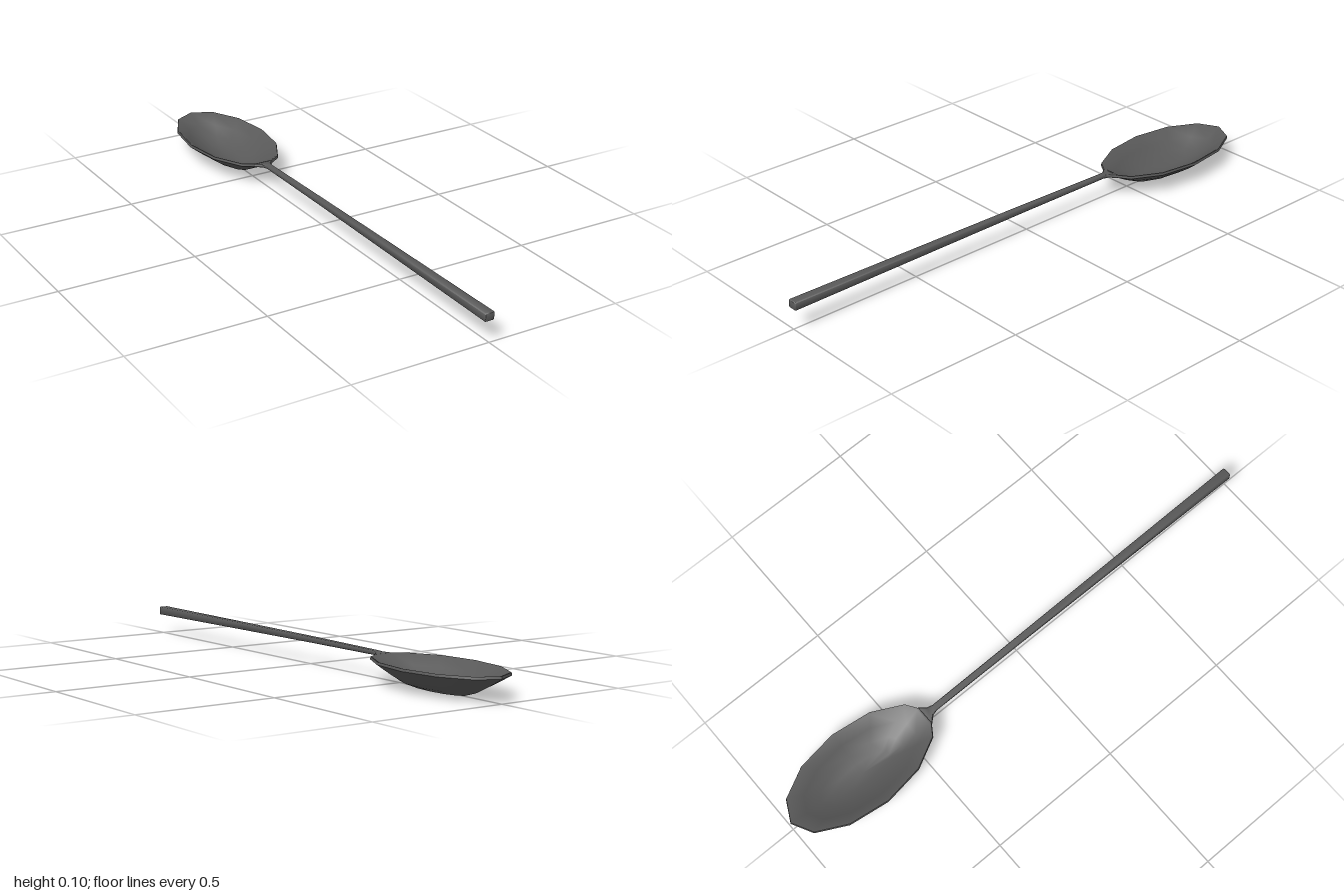
import * as THREE from 'three';
import { toCreasedNormals } from 'three/addons/utils/BufferGeometryUtils.js';

// Skin a list of closed rings that all have the same number of points
function loft(rings, crease) {
  const n = rings[0].length, index = [];
  for (let j = 0; j < rings.length - 1; j++) {
    for (let i = 0; i < n; i++) {
      const k = (i + 1) % n;
      const a = j * n + i, b = j * n + k, c = b + n, d = a + n;
      if (j < rings.length - 2) index.push(a, d, c);
      else index.push(a, c, b);
      if (j > 0 && j < rings.length - 2) index.push(a, c, b);
    }
  }
  const geo = new THREE.BufferGeometry();
  geo.setAttribute('position', new THREE.Float32BufferAttribute(rings.flat(2), 3));
  geo.setIndex(index);
  return toCreasedNormals(geo, crease);
}

export function createModel() {
  const metal = new THREE.MeshStandardMaterial({ color: 0x595959 });
  metal.name = 'darkMetal';
  const group = new THREE.Group();
  group.name = 'spoon';

  // Bowl: faceted oval outline, blunt where it meets the neck
  const half = [[0.077, -0.26], [0.134, -0.15], [0.155, 0], [0.134, 0.15], [0.077, 0.26], [0.035, 0.288]];
  const outline = [[0, -0.3], ...half, ...half.map(([x, z]) => [-x, z]).reverse()];
  // Cross-section from underside centre, over the rim, to inside centre: x scale, z scale, height
  const section = [
    [0, 0, 0], [0.24, 0.43, 0.002], [0.48, 0.6, 0.017], [0.74, 0.8, 0.045], [1, 1, 0.077],
    [0.985, 0.993, 0.086], [0.95, 0.97, 0.085],
    [0.72, 0.78, 0.054], [0.47, 0.58, 0.027], [0.23, 0.4, 0.012], [0, 0, 0.009],
  ];
  const bowlRings = section.map(([sx, sz, y]) => outline.map(([x, z]) => [x * sx, y, -0.7 + z * sz]));
  const bowl = new THREE.Mesh(loft(bowlRings, 0.7), metal);
  bowl.name = 'bowl';
  group.add(bowl);

  // Handle: tapering bar with softened corners, flaring into the bowl
  // Each station: z, half width, bottom, top
  const stations = [
    [1, 0, 0.089, 0.089], [1, 0.016, 0.076, 0.102], [0.997, 0.018, 0.074, 0.104],
    [0.4, 0.0145, 0.076, 0.1], [0, 0.012, 0.077, 0.097], [-0.37, 0.011, 0.077, 0.092],
    [-0.39, 0.017, 0.077, 0.089], [-0.413, 0.038, 0.075, 0.086], [-0.413, 0, 0.08, 0.08],
  ];
  const handleRings = stations.map(([z, w, lo, hi]) => {
    const c = Math.min(0.003, w), e = Math.min(0.003, (hi - lo) / 2);
    return [
      [w, lo + e], [w, hi - e], [w - c, hi], [c - w, hi],
      [-w, hi - e], [-w, lo + e], [c - w, lo], [w - c, lo],
    ].map(([x, y]) => [x, y, z]);
  });
  const handle = new THREE.Mesh(loft(handleRings, 0.9), metal);
  handle.name = 'handle';
  group.add(handle);

  return group;
}
